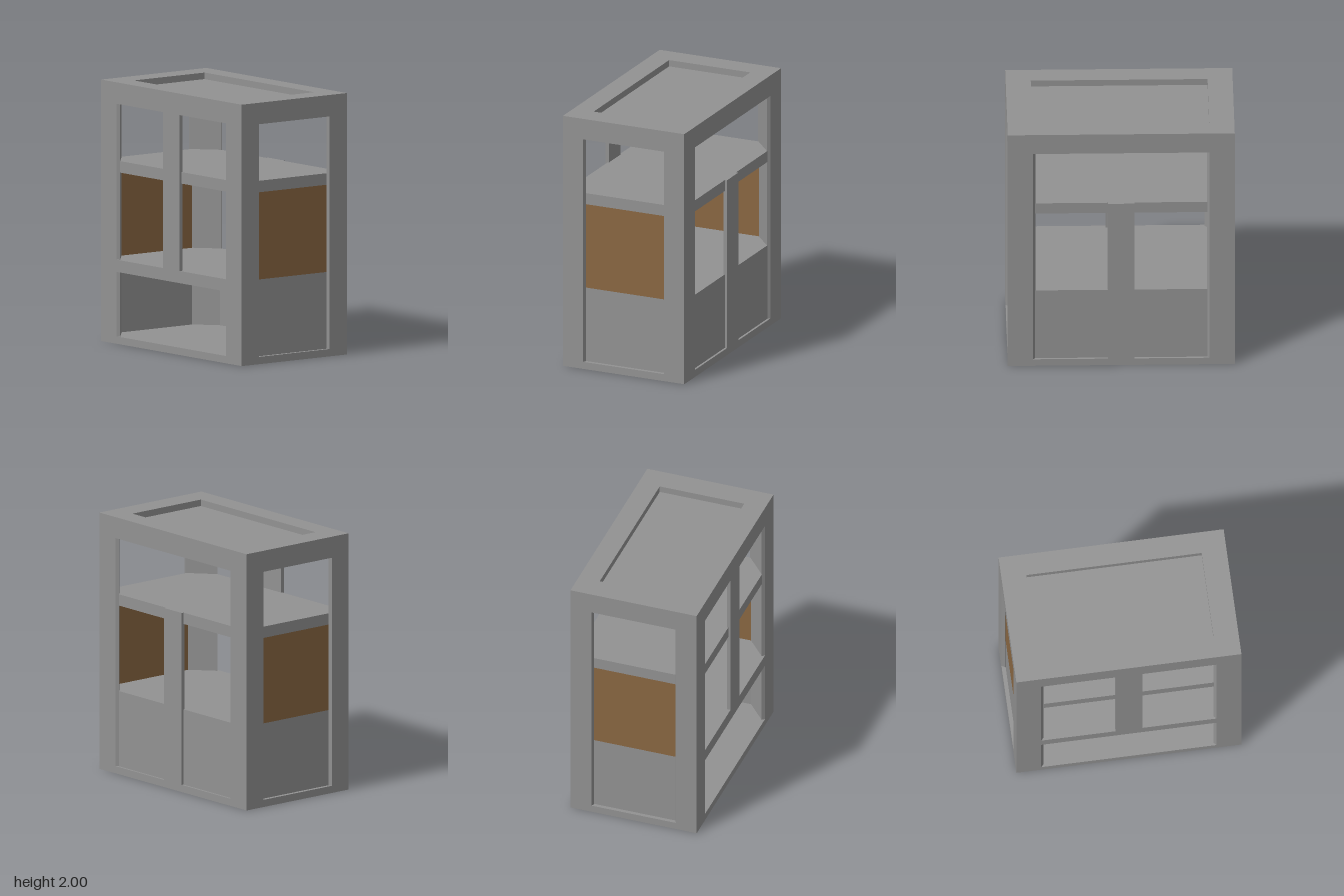
import * as THREE from 'three';

const W = 0.508, D = 0.86;        // outer half width and half depth
const OX = 0.34, OZ = 0.67;       // half widths of the openings
const INX = 0.49, INZ = 0.83;     // half sizes of the set-back shelf and counter
const BASE = 0.056, HEAD = 1.836; // bottom and top of the openings
const COUNTER_LOW = 0.55, COUNTER = 0.643, SHELF_LOW = 1.31, SHELF_TOP = 1.398;
const POST = 0.102;               // half width of the middle side posts

const grey = new THREE.MeshStandardMaterial({ color: 0x929292 });
const brown = new THREE.MeshStandardMaterial({ color: 0x8a6742 });

export function createModel() {
  const model = new THREE.Group();

  const add = (name, geometry, material = grey) => {
    const mesh = new THREE.Mesh(geometry, material);
    mesh.name = name;
    model.add(mesh);
    return mesh;
  };
  // Box given by its limits along each axis
  const box = (name, [x0, x1], [y0, y1], [z0, z1], material) =>
    add(name, new THREE.BoxGeometry(x1 - x0, y1 - y0, z1 - z0), material)
      .position.set((x0 + x1) / 2, (y0 + y1) / 2, (z0 + z1) / 2);
  // Plan outline (x, -z) raised from y0 to y1
  const prism = (name, shape, y0, y1) => {
    const geometry = new THREE.ExtrudeGeometry(shape, { depth: y1 - y0, bevelEnabled: false });
    geometry.rotateX(-Math.PI / 2);
    add(name, geometry).position.y = y0;
  };
  const outline = (points) => new THREE.Shape(points.map(([x, y]) => new THREE.Vector2(x, y)));
  const rect = (x, y) => [[-x, -y], [x, -y], [x, y], [-x, y]];

  // Floor slab, roof slab and the raised rim around the roof recess
  box('base', [-W, W], [0, BASE], [-D, D]);
  box('roof', [-W, W], [HEAD, 1.95], [-D, D]);
  const rim = outline(rect(W, D));
  rim.holes.push(outline(rect(OX, OZ)));
  prism('roofRim', rim, 1.95, 2);

  // Corner posts with a chamfered inner side
  const post = [[W, D], [OX, D], [0.328, 0.835], [0.488, 0.651], [W, OZ]];
  for (const sx of [-1, 1]) for (const sz of [-1, 1])
    prism('cornerPost', outline(post.map(([x, z]) => [x * sx, z * sz])), BASE, HEAD);

  // Shelf and counter, set slightly back from the frame
  box('shelf', [-INX, INX], [SHELF_LOW, SHELF_TOP], [-INZ, INZ]);
  box('counter', [-INX, INX], [COUNTER_LOW, COUNTER], [-INZ, INZ]);

  // End panels: grey below, brown above the counter
  for (const s of [-1, 1]) {
    const z = [s * 0.825 - 0.005, s * 0.825 + 0.005];
    box('lowerEndPanel', [-OX, OX], [BASE, COUNTER_LOW], z);
    box('upperEndPanel', [-OX, OX], [COUNTER, SHELF_LOW], z, brown);
  }

  // Closed side: low panel and a post up to the shelf
  box('sidePanel', [INX - 0.01, INX], [BASE, COUNTER_LOW], [-0.68, 0.68]);
  box('shortSidePost', [INX - 0.01, W], [BASE, SHELF_TOP], [-POST, POST]);

  // Open side: counter rail and a post up to the roof
  box('counterRail', [-W, 0.01 - INX], [COUNTER_LOW, COUNTER], [-OZ, OZ]);
  box('tallSidePost', [-W, 0.01 - INX], [COUNTER, HEAD], [-POST, POST]);

  return model;
}
